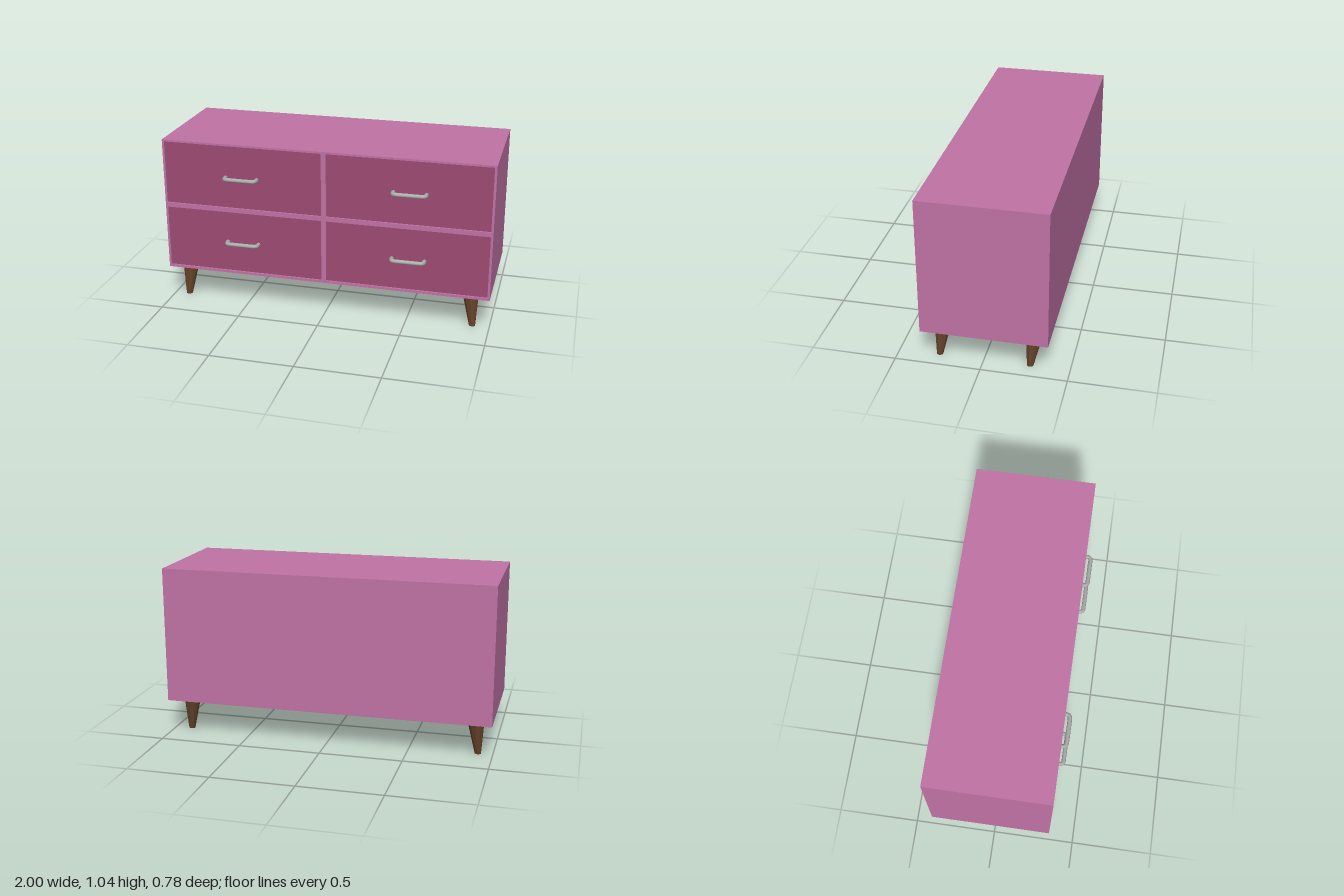
import * as THREE from 'three';

function material(name, color, flatShading = false) {
  const m = new THREE.MeshStandardMaterial({ color, flatShading });
  m.name = name;
  return m;
}

// Traces a rectangle onto a Shape or Path
function rect(target, x0, y0, x1, y1) {
  target.moveTo(x0, y0);
  target.lineTo(x1, y0);
  target.lineTo(x1, y1);
  target.lineTo(x0, y1);
  target.closePath();
  return target;
}

export function createModel() {
  const model = new THREE.Group();
  model.name = 'dresser';
  const pink = material('pink lacquer', 0xc072a4);
  const plum = material('plum drawer paint', 0x9d4a73);
  const wood = material('brown wood', 0x68452c, true);
  const metal = material('grey metal', 0xa8aaa8);

  const add = (name, geometry, mat, x = 0, y = 0, z = 0) => {
    const mesh = new THREE.Mesh(geometry, mat);
    mesh.name = name;
    mesh.position.set(x, y, z);
    model.add(mesh);
    return mesh;
  };

  const bottom = 0.212, top = 1.042, back = -0.388, front = 0.345;
  const inner = 0.31, drawerFace = 0.334;

  // Closed case behind the drawer fronts
  add('case', new THREE.BoxGeometry(2, top - bottom, inner - back), pink,
    0, (top + bottom) / 2, (inner + back) / 2);

  // Face frame with four openings, each holding a slightly recessed drawer and a pull
  const frame = rect(new THREE.Shape(), -1, bottom, 1, top);
  const rows = [[0.227, 0.613, 0.416], [0.641, 1.03, 0.831]];
  const columns = [[-0.986, -0.015, -0.51], [0.015, 0.986, 0.51]];

  // Bent bar pull, both ends running into the drawer front
  const w = 0.097, reach = 0.041, bend = 0.025;
  const path = new THREE.CurvePath();
  const p = (x, z) => new THREE.Vector3(x, 0, z);
  path.add(new THREE.LineCurve3(p(-w, -0.005), p(-w, reach - bend)));
  path.add(new THREE.QuadraticBezierCurve3(p(-w, reach - bend), p(-w, reach), p(-w + bend, reach)));
  path.add(new THREE.LineCurve3(p(-w + bend, reach), p(w - bend, reach)));
  path.add(new THREE.QuadraticBezierCurve3(p(w - bend, reach), p(w, reach), p(w, reach - bend)));
  path.add(new THREE.LineCurve3(p(w, reach - bend), p(w, -0.005)));
  const pull = new THREE.TubeGeometry(path, 48, 0.013, 8);

  for (const [y0, y1, pullY] of rows) {
    for (const [x0, x1, pullX] of columns) {
      frame.holes.push(rect(new THREE.Path(), x0, y0, x1, y1));
      add('drawerFront', new THREE.BoxGeometry(x1 - x0, y1 - y0, drawerFace - inner), plum,
        (x0 + x1) / 2, (y0 + y1) / 2, (drawerFace + inner) / 2);
      add('drawerPull', pull, metal, pullX, pullY, drawerFace);
    }
  }
  add('faceFrame', new THREE.ExtrudeGeometry(frame, { depth: front - inner, bevelEnabled: false }),
    pink, 0, 0, inner);

  // Tapered legs, sheared so the feet splay outward and forward
  for (const [x, leanX] of [[-0.896, -0.016], [0.877, 0.02]]) {
    for (const z of [0.242, -0.289]) {
      const leg = new THREE.CylinderGeometry(0.051, 0.019, bottom, 10);
      const pos = leg.attributes.position;
      for (let i = 0; i < pos.count; i++) {
        const t = 0.5 - pos.getY(i) / bottom;
        pos.setX(i, pos.getX(i) + leanX * t);
        pos.setZ(i, pos.getZ(i) + 0.02 * t);
      }
      leg.computeVertexNormals();
      add('leg', leg, wood, x, bottom / 2, z);
    }
  }
  return model;
}
